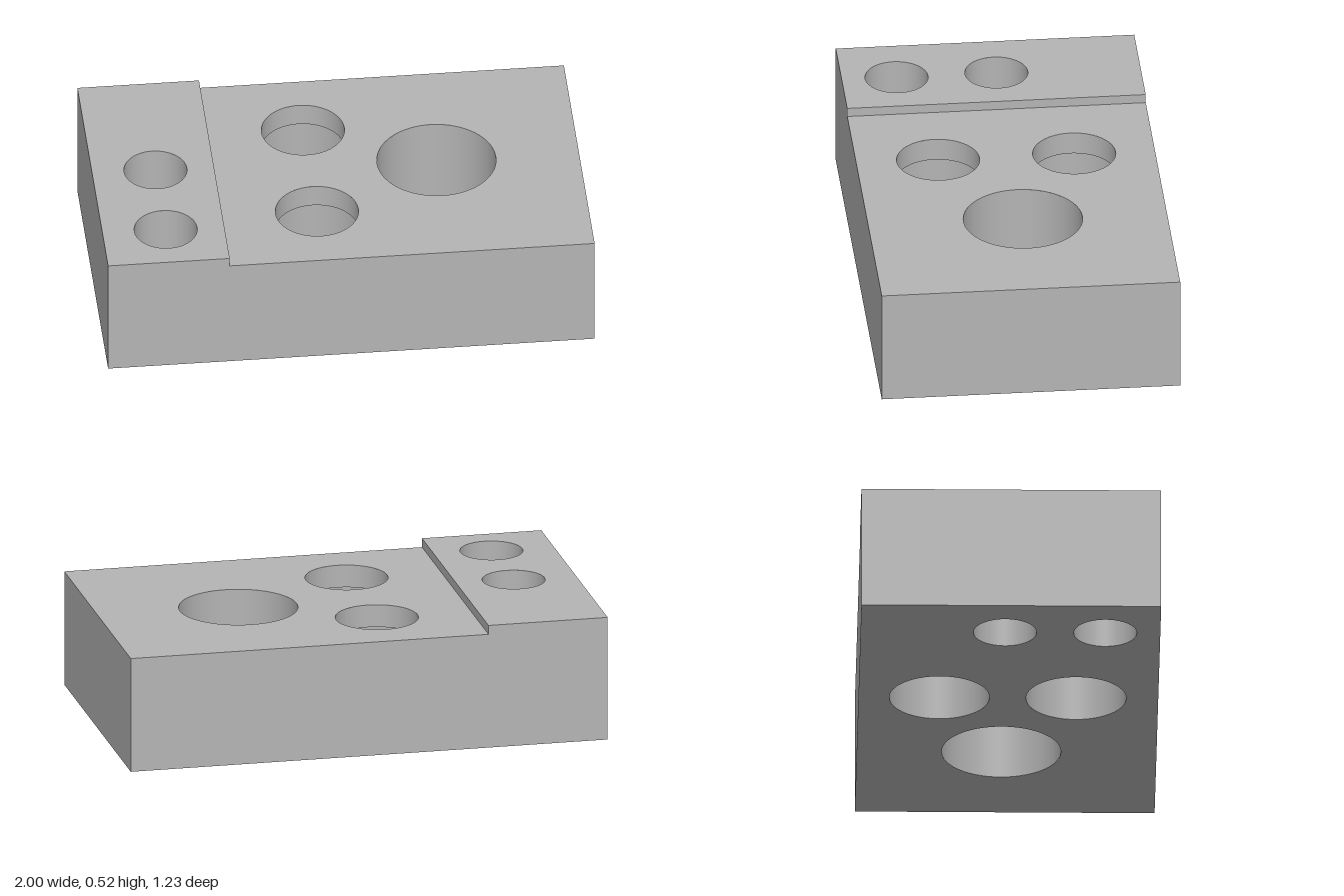
import * as THREE from 'three';

const HALF_Z = 0.613, LOW = 0.485, HIGH = 0.523, STEP_X = -0.5, LEDGE = 0.39, SEG = 72;

// x, z, top radius, bottom radius, top height
const bores = [
  { name: 'largeBore', x: 0.415, z: -0.022, r: 0.244, R: 0.244, top: LOW },
  { name: 'counterboreBack', x: -0.107, z: -0.282, r: 0.17, R: 0.205, top: LOW },
  { name: 'counterboreFront', x: -0.107, z: 0.277, r: 0.17, R: 0.205, top: LOW },
  { name: 'smallBoreBack', x: -0.74, z: -0.022, r: 0.129, R: 0.129, top: HIGH },
  { name: 'smallBoreFront', x: -0.74, z: 0.388, r: 0.129, R: 0.129, top: HIGH },
];

export function createModel() {
  const group = new THREE.Group();
  const grey = new THREE.MeshStandardMaterial({ color: 0xb4b4b4 });
  grey.name = 'grey';

  const add = (name, geometry, x = 0, y = 0, z = 0) => {
    const mesh = new THREE.Mesh(geometry, grey);
    mesh.name = name;
    mesh.position.set(x, y, z);
    group.add(mesh);
  };

  // Horizontal plate face pierced by holes; dir is 1 facing up, -1 facing down
  const face = (name, x0, x1, y, dir, holes, key) => {
    const shape = new THREE.Shape([[x0, -HALF_Z], [x1, -HALF_Z], [x1, HALF_Z], [x0, HALF_Z]]
      .map(p => new THREE.Vector2(...p)));
    for (const h of holes) {
      shape.holes.push(new THREE.Path().absarc(h.x, -dir * h.z, h[key], 0, Math.PI * 2, true));
    }
    add(name, new THREE.ShapeGeometry(shape, SEG).rotateX(-dir * Math.PI / 2), 0, y, 0);
  };
  face('raisedTop', -1, STEP_X, HIGH, 1, bores.filter(b => b.top === HIGH), 'r');
  face('lowerTop', STEP_X, 1, LOW, 1, bores.filter(b => b.top === LOW), 'r');
  face('underside', -1, 1, 0, -1, bores, 'R');

  // Front and back walls follow the stepped profile
  const profile = new THREE.Shape([[-1, 0], [1, 0], [1, LOW], [STEP_X, LOW], [STEP_X, HIGH], [-1, HIGH]]
    .map(p => new THREE.Vector2(...p)));
  add('frontWall', new THREE.ShapeGeometry(profile), 0, 0, HALF_Z);
  const back = new THREE.Shape(profile.getPoints().map(p => new THREE.Vector2(-p.x, p.y)));
  add('backWall', new THREE.ShapeGeometry(back).rotateY(Math.PI), 0, 0, -HALF_Z);

  // End walls and the riser of the step
  const wall = (name, x, y0, y1, dir) => add(name,
    new THREE.PlaneGeometry(2 * HALF_Z, y1 - y0).rotateY(dir * Math.PI / 2), x, (y0 + y1) / 2, 0);
  wall('leftWall', 1, 0, LOW, 1);
  wall('rightWall', -1, 0, HIGH, -1);
  wall('stepRiser', STEP_X, LOW, HIGH, 1);

  // Bore linings, listed top-down so that they face the axis
  for (const b of bores) {
    const pts = b.r === b.R
      ? [[b.r, b.top], [b.r, 0]]
      : [[b.r, b.top], [b.r, LEDGE], [b.R, LEDGE], [b.R, 0]];
    for (let i = 0; i + 1 < pts.length; i++) {
      const line = [pts[i], pts[i + 1]].map(p => new THREE.Vector2(...p));
      add(b.name, new THREE.LatheGeometry(line, SEG), b.x, 0, b.z);
    }
  }
  return group;
}
